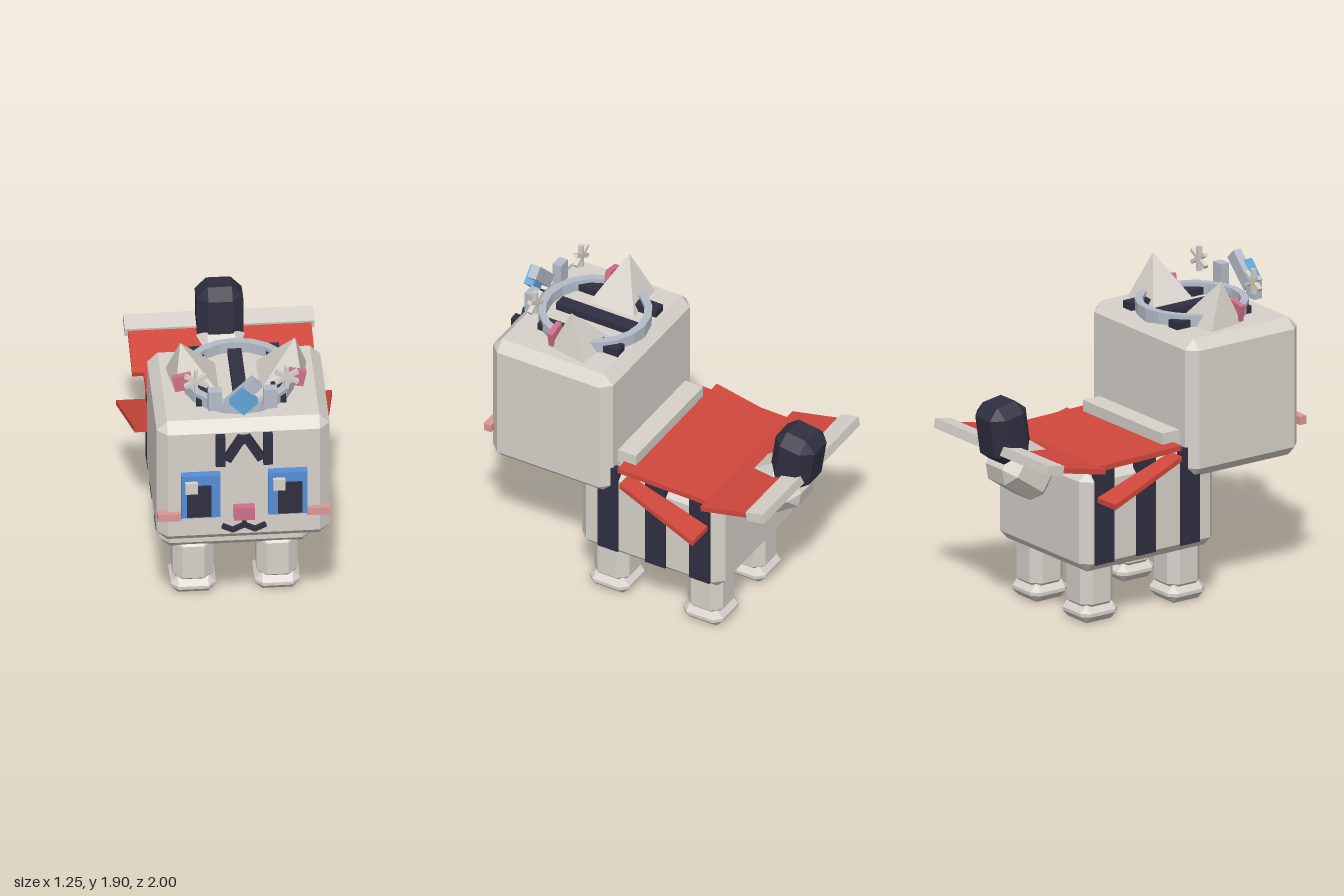
import * as THREE from 'three';
import { ConvexGeometry } from 'three/addons/geometries/ConvexGeometry.js';

const paint = (name, color) => {
  const m = new THREE.MeshStandardMaterial({ color });
  m.name = name;
  return m;
};

export function createModel() {
  const cream = paint('cream', 0xd6d1ca), navy = paint('navy', 0x302f40);
  const red = paint('red', 0xd1483c), blue = paint('eye blue', 0x558fd6);
  const gemBlue = paint('gem blue', 0x5da5d6), silver = paint('silver', 0xb5bcc7);
  const pink = paint('rose pink', 0xd0708a), blush = paint('blush', 0xdb9896);

  const model = new THREE.Group();
  const add = (name, geometry, material, parent = model) => {
    const mesh = new THREE.Mesh(geometry, material);
    mesh.name = name;
    parent.add(mesh);
    return mesh;
  };
  // Box from its low and high corners
  const box = (name, material, x0, x1, y0, y1, z0, z1, parent) => {
    const m = add(name, new THREE.BoxGeometry(x1 - x0, y1 - y0, z1 - z0), material, parent);
    m.position.set((x0 + x1) / 2, (y0 + y1) / 2, (z0 + z1) / 2);
    return m;
  };
  // Box with every edge and corner cut
  const chamferBox = (w, h, d, c) => {
    const pts = [];
    for (const sx of [-1, 1]) for (const sy of [-1, 1]) for (const sz of [-1, 1])
      for (let k = 0; k < 3; k++) {
        const cut = [c, c, c];
        cut[k] = 0;
        pts.push(new THREE.Vector3(sx * (w / 2 - cut[0]), sy * (h / 2 - cut[1]), sz * (d / 2 - cut[2])));
      }
    return new ConvexGeometry(pts);
  };
  const chamfered = (name, material, size, c, pos) => {
    const m = add(name, chamferBox(...size, c), material);
    m.position.set(...pos);
    return m;
  };
  // Flat bar between two points in the front plane
  const bar = (name, material, a, b, width, z0, z1, parent) => {
    const dx = b[0] - a[0], dy = b[1] - a[1];
    const m = add(name, new THREE.BoxGeometry(Math.hypot(dx, dy), width, z1 - z0), material, parent);
    m.position.set((a[0] + b[0]) / 2, (a[1] + b[1]) / 2, (z0 + z1) / 2);
    m.rotation.z = Math.atan2(dy, dx);
    return m;
  };
  const hull = pts => new ConvexGeometry(pts.map(p => new THREE.Vector3(...p)));

  // Body and head
  chamfered('body', cream, [0.88, 0.61, 0.954], 0.057, [0, 0.64, -0.11]);
  chamfered('head', cream, [1, 0.835, 0.8], 0.06, [0, 1.203, 0.53]);

  // Tail
  chamfered('tailBase', cream, [0.3, 0.3, 0.36], 0.07, [0, 0.91, -0.72]).rotation.x = 0.6;
  chamfered('tailTip', navy, [0.27, 0.36, 0.26], 0.065, [0, 1.155, -0.85]).rotation.x = -0.15;

  // Cape: neck roll, back panel, raised rear panel with trim
  box('capeCollar', cream, -0.385, 0.385, 0.98, 1.065, 0.01, 0.17);
  const slab = (name, mat, halfW, z0, y0, z1, y1, t) => {
    const m = add(name, new THREE.BoxGeometry(halfW * 2, t, Math.hypot(z1 - z0, y1 - y0)), mat);
    m.position.set(0, (y0 + y1) / 2, (z0 + z1) / 2);
    m.rotation.x = Math.atan2(y1 - y0, z0 - z1);
  };
  slab('capeBack', red, 0.465, 0.088, 0.983, -0.515, 0.972, 0.032);
  slab('capeRear', red, 0.53, -0.505, 0.972, -0.83, 1.045, 0.032);
  slab('capeTrim', cream, 0.548, -0.82, 1.045, -0.935, 1.07, 0.058);

  // Head markings
  box('crownStripe', navy, -0.04, 0.04, 1.6, 1.665, 0.245, 0.745);
  bar('browMark', navy, [0, 1.545], [0, 1.5], 0.05, 0.93, 0.965);

  // Nose and mouth
  box('nose', pink, -0.06, 0.06, 0.97, 1.055, 0.92, 0.978);
  box('mouthLine', navy, -0.012, 0.012, 0.9, 0.975, 0.92, 0.953);

  // Tiara
  const ring = add('tiaraRing', new THREE.LatheGeometry(
    [[0.285, 1.61], [0.33, 1.61], [0.33, 1.69], [0.285, 1.69], [0.285, 1.61]]
      .map(p => new THREE.Vector2(...p)), 20).toNonIndexed(), silver);
  ring.geometry.computeVertexNormals();
  ring.position.z = 0.505;
  bar('tiaraCrest', silver, [-0.08, 1.71], [0.08, 1.87], 0.08, 0.84, 0.895);
  const gem = add('tiaraGem', new THREE.BoxGeometry(0.117, 0.117, 0.06), gemBlue);
  gem.position.set(0, 1.765, 0.905);
  gem.rotation.z = Math.PI / 4;

  for (const s of [-1, 1]) {
    const side = s > 0 ? 'left' : 'right';
    const span = (name, mat, a, b, ...rest) =>
      box(side + name, mat, Math.min(s * a, s * b), Math.max(s * a, s * b), ...rest);

    // Legs and paws
    for (const z of [0.217, -0.407]) {
      const end = z > 0 ? 'Front' : 'Rear';
      chamfered(side + end + 'Leg', cream, [0.236, 0.33, 0.236], 0.055, [s * 0.243, 0.225, z]);
      chamfered(side + end + 'Paw', cream, [0.264, 0.11, 0.264], 0.045, [s * 0.243, 0.055, z]);
    }
    // Flank stripes
    for (const z of [0.161, -0.155, -0.45])
      span('FlankStripe', navy, 0.41, 0.452, 0.385, 0.972, z - 0.067, z + 0.067);
    span('CrownSideStripe', navy, 0.18, 0.26, 1.6, 1.665, 0.205, 0.74);

    // Flared cape side
    const flap = [];
    for (const t of [0, 0.032])
      flap.push([s * 0.45, 0.94 + t, 0.02], [s * 0.558, 0.94 + t, 0.02],
        [s * 0.45, 0.765 + t, -0.505], [s * 0.625, 0.765 + t, -0.505]);
    add(side + 'CapeFlap', hull(flap), red);

    // Pyramid ear with pink inner plate
    add(side + 'Ear', hull([[s * 0.41, 1.61, 0.34], [s * 0.11, 1.61, 0.31], [s * 0.11, 1.61, 0.62],
      [s * 0.37, 1.61, 0.595], [s * 0.332, 1.885, 0.472]]), cream);
    const inner = add(side + 'InnerEar', new THREE.BoxGeometry(0.11, 0.1, 0.035), pink);
    inner.position.set(s * 0.325, 1.688, 0.583);
    inner.rotation.z = -s * 0.2;

    // Eye, pupil and highlight
    span('Eye', blue, 0.138, 0.365, 1.0, 1.295, 0.92, 0.976);
    span('Pupil', navy, 0.193, 0.333, 1.01, 1.228, 0.95, 0.984);
    const hx = s > 0 ? 0.2 : -0.308;
    box(side + 'EyeHighlight', cream, hx - 0.036, hx + 0.036, 1.185, 1.26, 0.97, 1.0);
    span('Cheek', blush, 0.36, 0.5, 0.97, 1.02, 0.91, 0.957);

    // Forehead marking and smile
    span('BrowBar', navy, 0.11, 0.165, 1.35, 1.555, 0.92, 0.97);
    bar(side + 'BrowSlant', navy, [s * 0.012, 1.54], [s * 0.1, 1.385], 0.05, 0.92, 0.967);
    bar(side + 'SmileInner', navy, [0, 0.915], [s * 0.068, 0.88], 0.026, 0.92, 0.953);
    bar(side + 'SmileOuter', navy, [s * 0.06, 0.88], [s * 0.125, 0.912], 0.026, 0.92, 0.953);

    // Tiara post and snowflake
    span('TiaraPost', silver, 0.12, 0.2, 1.67, 1.8, 0.805, 0.86);
    const flake = new THREE.Group();
    flake.name = side + 'Snowflake';
    for (let i = 0; i < 3; i++) {
      const arm = add('snowflakeArm', new THREE.BoxGeometry(0.022, 0.15, 0.028), cream, flake);
      arm.rotation.z = i * Math.PI / 3;
    }
    flake.position.set(s * 0.262, 1.812, 0.752);
    model.add(flake);
  }
  return model;
}
